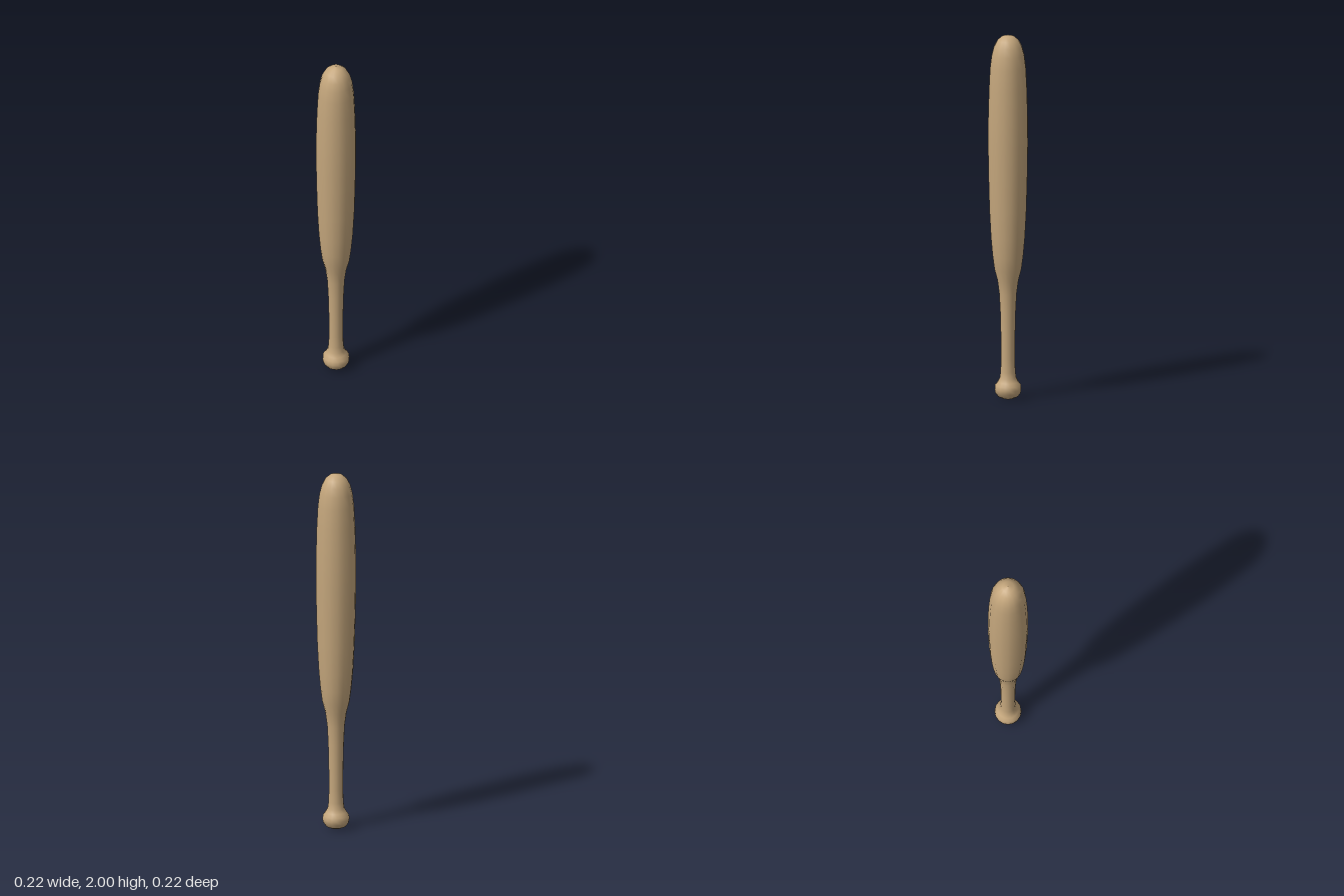
import * as THREE from 'three';

export function createModel() {
  const model = new THREE.Group();
  model.name = 'bat';
  const wood = new THREE.MeshStandardMaterial({ color: 0xc4a67c });
  wood.name = 'paleWood';

  // Turned profile [radius, height] from the knob up to the rounded tip
  const profile = [
    // knob
    [0, 0], [0.03, 0.004], [0.055, 0.016], [0.069, 0.036], [0.072, 0.055], [0.07, 0.076], [0.056, 0.094],
    // handle
    [0.045, 0.115], [0.04, 0.15], [0.038, 0.22], [0.039, 0.36], [0.042, 0.48], [0.047, 0.58], [0.057, 0.655],
    // barrel
    [0.073, 0.715], [0.083, 0.79], [0.092, 0.89], [0.1, 1.04], [0.105, 1.22], [0.108, 1.4], [0.107, 1.55],
    [0.103, 1.7], [0.097, 1.82],
    // rounded tip
    [0.088, 1.89], [0.076, 1.935], [0.058, 1.97], [0.032, 1.992], [0, 2],
  ].map(([r, y]) => new THREE.Vector2(r, y));

  const body = new THREE.Mesh(new THREE.LatheGeometry(profile, 16), wood);
  body.name = 'turnedBody';
  model.add(body);
  return model;
}
